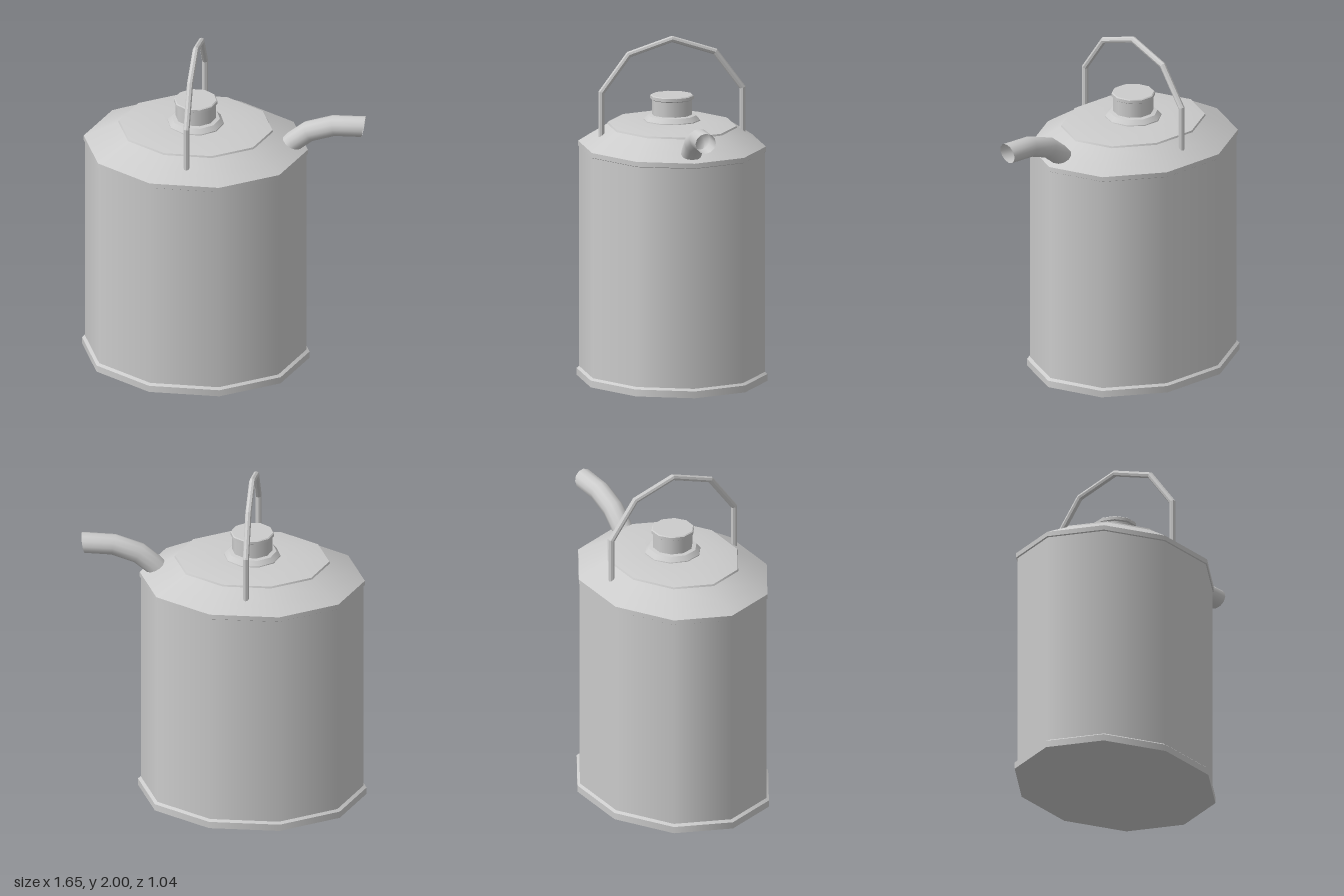
import * as THREE from 'three';

const CX = -0.165; // axis of the can
const SIDES = 10;
const metal = new THREE.MeshStandardMaterial({ color: 0xcccccc, side: THREE.DoubleSide });
const facetedMetal = new THREE.MeshStandardMaterial({ color: 0xcccccc, flatShading: true });

// Turned part: each band is smooth, with sharp edges between bands.
function turned(name, bands, zScale = 1) {
  const group = new THREE.Group();
  group.name = name;
  bands.forEach((band, i) => {
    const points = band.map(([r, y]) => new THREE.Vector2(r, y));
    const geo = new THREE.LatheGeometry(points, SIDES, Math.PI / 2);
    geo.scale(1, 1, zScale);
    const mesh = new THREE.Mesh(geo, metal);
    mesh.name = `${name}Band${i + 1}`;
    group.add(mesh);
  });
  group.position.x = CX;
  return group;
}

// Mitred tube along a path in the XY plane; endDir tilts the last ring.
function pipe(path, radius, sides, endDir, capped) {
  const pts = path.map(([x, y]) => new THREE.Vector2(x, y));
  const last = pts.length - 1;
  const pos = [], index = [];
  pts.forEach((p, i) => {
    const a = pts[Math.min(i + 1, last)].clone().sub(pts[Math.min(i, last - 1)]).normalize();
    const b = p.clone().sub(pts[Math.max(i - 1, 0)]).normalize();
    const t = i === 0 ? a : i === last ? (endDir || b) : a.clone().add(b).normalize();
    const miter = radius / (i === 0 ? 1 : t.dot(b));
    for (let s = 0; s < sides; s++) {
      const ang = (s / sides) * Math.PI * 2;
      const n = Math.cos(ang) * miter;
      pos.push(p.x - t.y * n, p.y + t.x * n, Math.sin(ang) * radius);
      if (i < last) {
        const q = i * sides + s, r = i * sides + (s + 1) % sides;
        index.push(q, r, q + sides, r, r + sides, q + sides);
      }
    }
  });
  if (capped) {
    const o = last * sides;
    for (let s = 1; s < sides - 1; s++) index.push(0, s + 1, s, o, o + s, o + s + 1);
  }
  const geo = new THREE.BufferGeometry();
  geo.setAttribute('position', new THREE.Float32BufferAttribute(pos, 3));
  geo.setIndex(index);
  geo.computeVertexNormals();
  return geo;
}

export function createModel() {
  const model = new THREE.Group();
  model.name = 'oilCan';
  const oval = 0.826;

  // Oval can
  model.add(turned('baseRim', [
    [[0, 0], [0.66, 0]],
    [[0.66, 0], [0.66, 0.04]],
    [[0.66, 0.04], [0.642, 0.052]],
  ], oval));
  model.add(turned('body', [[[0.642, 0.05], [0.642, 1.338]]], oval));
  model.add(turned('topRim', [
    [[0.64, 1.337], [0.65, 1.342]],
    [[0.65, 1.342], [0.65, 1.37]],
  ], oval));
  model.add(turned('shoulder', [
    [[0.65, 1.37], [0.57, 1.413], [0.45, 1.475]],
    [[0.45, 1.475], [0.445, 1.485]],
    [[0.445, 1.485], [0.32, 1.502], [0.16, 1.508], [0, 1.508]],
  ], oval));

  // Filler neck and cap
  model.add(turned('collar', [
    [[0.165, 1.5], [0.163, 1.512]],
    [[0.163, 1.512], [0.14, 1.538]],
    [[0.14, 1.538], [0.115, 1.542]],
  ]));
  model.add(turned('neck', [[[0.116, 1.54], [0.116, 1.63]]]));
  model.add(turned('cap', [
    [[0.115, 1.628], [0.126, 1.634]],
    [[0.126, 1.634], [0.126, 1.652]],
    [[0.126, 1.652], [0.12, 1.657]],
    [[0.12, 1.657], [0, 1.657]],
  ]));

  // Open spout on the left shoulder
  const spoutPath = [[0.355, 1.37], [0.405, 1.425], [0.49, 1.493], [0.635, 1.541], [0.81, 1.546]];
  const spout = new THREE.Mesh(
    pipe(spoutPath, 0.06, 12, new THREE.Vector2(0.986, -0.165), false), metal);
  spout.name = 'spout';
  model.add(spout);

  // Bail handle arching from front to back
  const half = [[0.413, 1.42], [0.413, 1.685], [0.253, 1.9]];
  const handlePath = [...half.map(([x, y]) => [-x, y]), [0, 1.982], ...half.reverse()];
  const handle = new THREE.Mesh(pipe(handlePath, 0.018, 8, null, true), facetedMetal);
  handle.name = 'handle';
  handle.rotation.y = Math.PI / 2;
  handle.position.x = CX;
  model.add(handle);

  return model;
}
